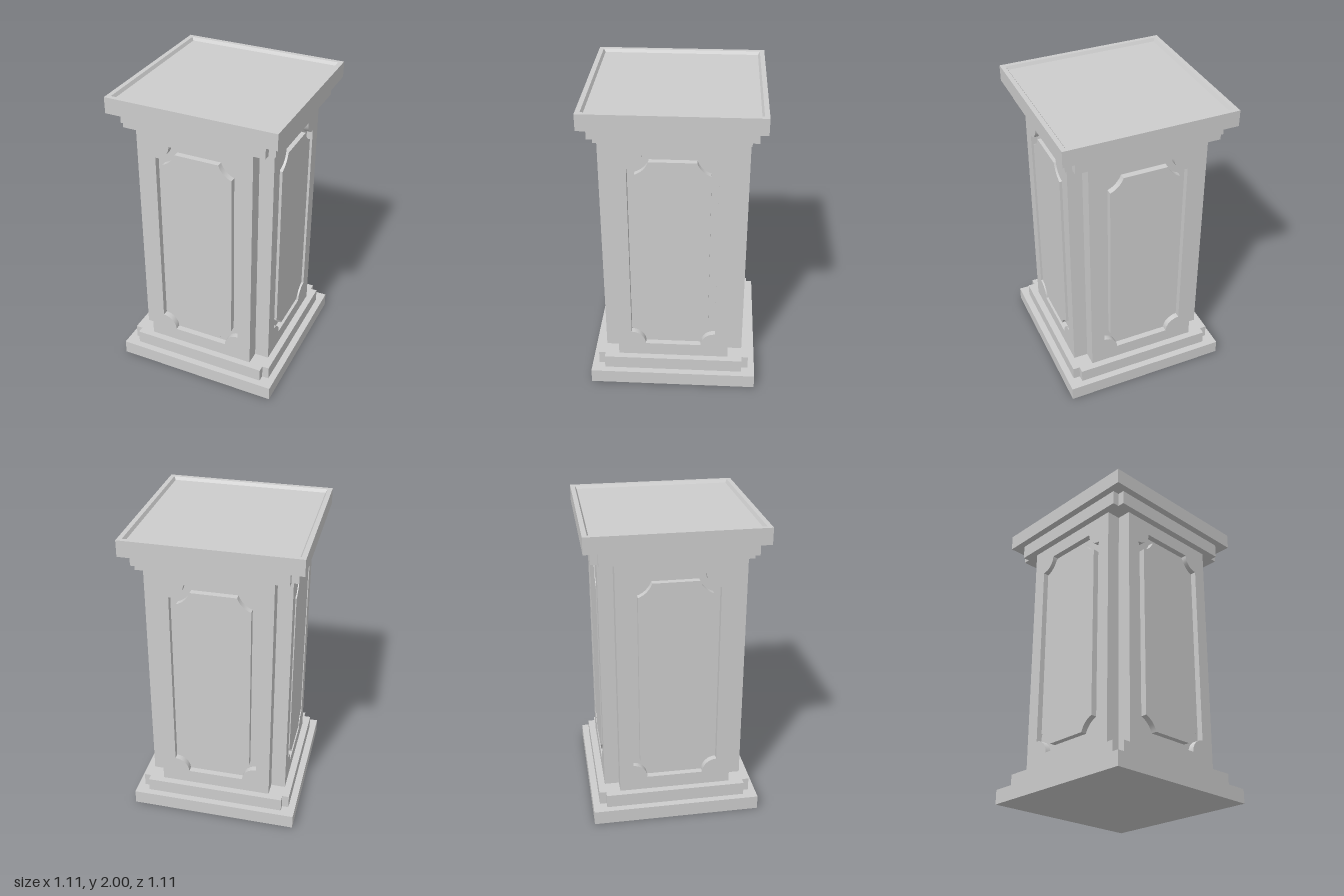
import * as THREE from 'three';
import { toCreasedNormals } from 'three/addons/utils/BufferGeometryUtils.js';

const BASE_TOP = 0.095, SHAFT_BOTTOM = 0.185, SHAFT_TOP = 1.8, CAP_BOTTOM = 1.895;
const SHAFT_MID = (SHAFT_BOTTOM + SHAFT_TOP) / 2, SHAFT_HEIGHT = SHAFT_TOP - SHAFT_BOTTOM;
const FACE = 0.465, CORNER = 0.37, GROOVE = 0.04; // shaft face, notch edge, groove depth

// Square plan with a square notch at each corner, extruded upwards
function notchedBlock(half, inner, y0, y1) {
  const points = [];
  for (let i = 0; i < 4; i++) {
    for (const [x, y] of [[half, inner], [inner, inner], [inner, half]]) {
      points.push(new THREE.Vector2(x, y).rotateAround(new THREE.Vector2(), i * Math.PI / 2));
    }
  }
  return new THREE.ExtrudeGeometry(new THREE.Shape(points), { depth: y1 - y0, bevelEnabled: false })
    .rotateX(-Math.PI / 2).translate(0, y0, 0);
}

// Tall rectangle with scooped corners, inset by t
function scoopedOutline(t) {
  const w = 0.28, h = 0.715, r = 0.095 + t, e = Math.asin(t / r), steps = 8;
  const points = [];
  [[1, 1], [-1, 1], [-1, -1], [1, -1]].forEach(([sx, sy], i) => {
    for (let k = 0; k <= steps; k++) {
      const a = THREE.MathUtils.lerp(1.5 * Math.PI - e, Math.PI + e, k / steps) + i * Math.PI / 2;
      points.push(new THREE.Vector2(sx * w + r * Math.cos(a), sy * h + r * Math.sin(a)));
    }
  });
  return points;
}

// Square slab turned from a half profile
function squareSlab(profile) {
  const points = profile.map(([x, y]) => new THREE.Vector2(x * Math.SQRT2, y));
  const geometry = new THREE.LatheGeometry(points, 4, Math.PI / 4).toNonIndexed();
  geometry.computeVertexNormals();
  return geometry;
}

export function createModel() {
  const model = new THREE.Group();
  model.name = 'pedestal';
  const stone = new THREE.MeshStandardMaterial({ color: 0xcccccc });
  stone.name = 'stone';

  const add = (name, geometry, parent = model) => {
    const mesh = new THREE.Mesh(geometry, stone);
    mesh.name = name;
    parent.add(mesh);
  };

  // Base and upper mouldings
  add('baseSlab', new THREE.BoxGeometry(1.11, BASE_TOP, 1.11).translate(0, BASE_TOP / 2, 0));
  add('baseStep', notchedBlock(0.51, FACE, BASE_TOP, SHAFT_BOTTOM));
  add('capStep', notchedBlock(0.51, FACE, SHAFT_TOP, CAP_BOTTOM));

  // Cap slab with a shallow tray in its top
  add('capSlab', squareSlab([
    [0, CAP_BOTTOM], [0.555, CAP_BOTTOM], [0.555, 2], [0.525, 2], [0.513, 1.98], [0, 1.98],
  ]));

  // Shaft core, whose faces form the groove floors
  add('shaftCore', notchedBlock(FACE - GROOVE, CORNER, SHAFT_BOTTOM, SHAFT_TOP));

  // Each side: a frame and a panel with a groove between them
  const h = SHAFT_HEIGHT / 2;
  const frameShape = new THREE.Shape([
    new THREE.Vector2(-CORNER, -h), new THREE.Vector2(CORNER, -h),
    new THREE.Vector2(CORNER, h), new THREE.Vector2(-CORNER, h),
  ]);
  frameShape.holes.push(new THREE.Path(scoopedOutline(0)));
  const panelShape = new THREE.Shape(scoopedOutline(0.047));
  const [frame, panel] = [frameShape, panelShape].map((shape) => toCreasedNormals(
    new THREE.ExtrudeGeometry(shape, { depth: GROOVE, bevelEnabled: false })
      .translate(0, SHAFT_MID, FACE - GROOVE), 0.5));

  ['front', 'left', 'back', 'right'].forEach((side, i) => {
    const group = new THREE.Group();
    group.name = side + 'Side';
    group.rotation.y = i * Math.PI / 2;
    add(side + 'Frame', frame, group);
    add(side + 'Panel', panel, group);
    model.add(group);
  });

  return model;
}
